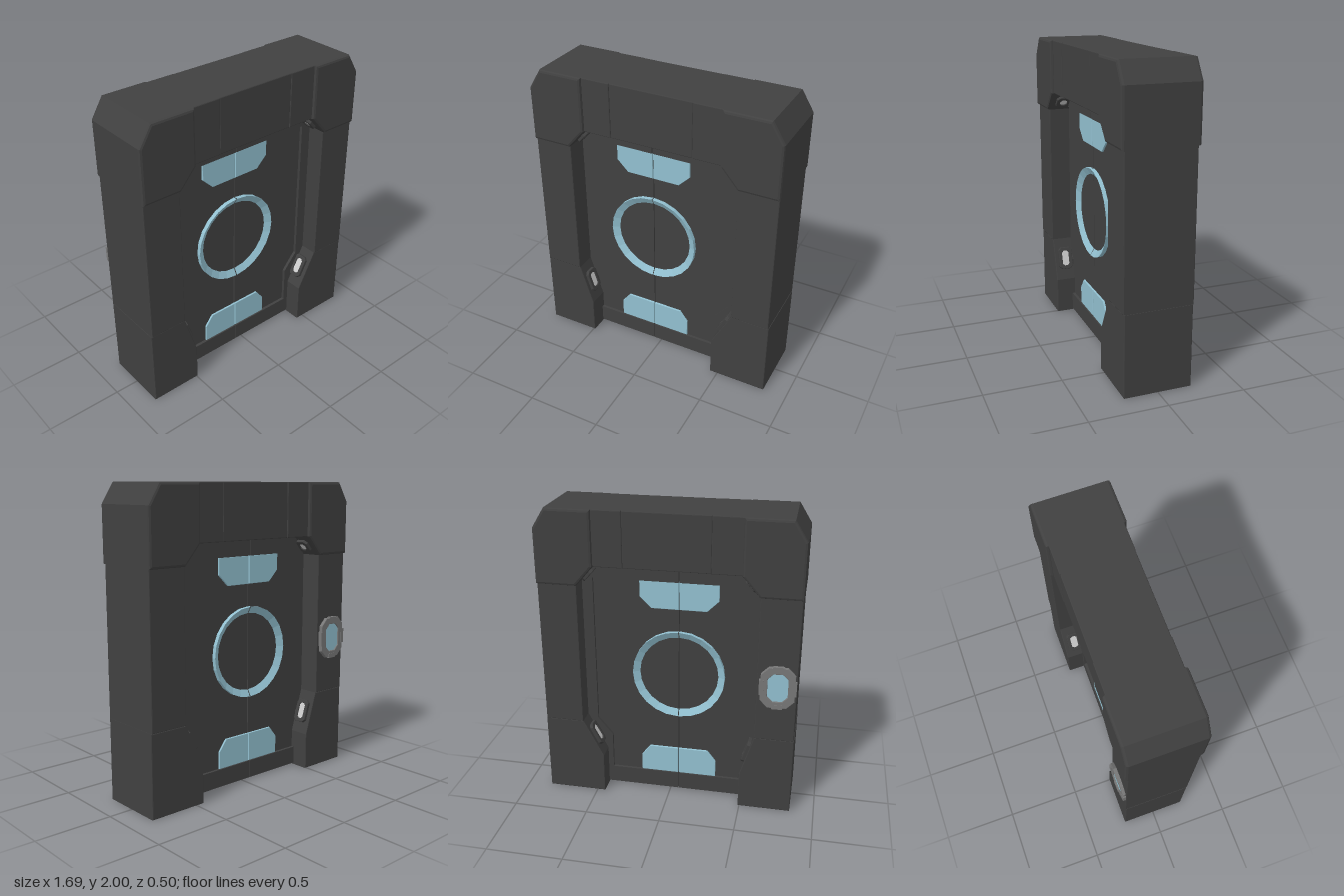
import * as THREE from 'three';

const mat = (color) => new THREE.MeshStandardMaterial({ color });
const dark = mat(0x404040), blue = mat(0x92c0d0), steel = mat(0x777777), grey = mat(0xcccccc);
const DOOR_X = -0.055; // the two leaves meet slightly off centre
const GAP = 0.003;

const toShape = (pts) => new THREE.Shape(pts.map(([x, y]) => new THREE.Vector2(x, y)));

// Outline extruded symmetrically to z = -half..half, edges bevelled inside the outline
function slab(name, pts, half, bevel, material, hole) {
  const shape = toShape(pts);
  if (hole) shape.holes.push(toShape(hole));
  const geo = new THREE.ExtrudeGeometry(shape, {
    depth: 2 * (half - bevel), bevelEnabled: bevel > 0, bevelSize: bevel,
    bevelThickness: bevel, bevelOffset: -bevel, bevelSegments: 2,
  });
  geo.translate(0, 0, bevel - half);
  const mesh = new THREE.Mesh(geo, material);
  mesh.name = name;
  return mesh;
}

const rect = (x0, x1, y0, y1) => [[x0, y0], [x1, y0], [x1, y1], [x0, y1]];

// Rectangle with cut corners
function octagon(w, h, c) {
  const x = w / 2, y = h / 2;
  return [[-x + c, -y], [x - c, -y], [x, -y + c], [x, y - c], [x - c, y], [-x + c, y], [-x, y - c], [-x, -y + c]];
}

// Chamfered rim around a lower inset, facing +z
function framedPlate(name, w, h, depth, cut, border, rimMat, insetMat) {
  const group = new THREE.Group();
  group.name = name;
  const inner = octagon(w - 2 * border, h - 2 * border, cut * 0.7);
  const rim = slab('rim', octagon(w, h, cut), depth, 0.004, rimMat, inner);
  const inset = slab('inset', inner, depth * 0.6, 0, insetMat);
  group.add(rim, inset);
  return group;
}

// Small lamp lying on a slanted face of the opening
function jambLamp(a, b, length, z) {
  const t = new THREE.Vector3(b[0] - a[0], b[1] - a[1], 0).normalize();
  const n = new THREE.Vector3(-t.y, t.x, 0);
  if (n.x * a[0] > 0) n.negate();
  const lamp = framedPlate('jambLamp', 0.1, length, 0.02, 0.02, 0.025, dark, grey);
  lamp.quaternion.setFromRotationMatrix(new THREE.Matrix4().makeBasis(t.clone().cross(n), t, n));
  lamp.position.set((a[0] + b[0]) / 2, (a[1] + b[1]) / 2, z);
  return lamp;
}

// One side of the surround; s = 1 for +x, -1 for -x
function framePost(s, footX, footY) {
  const post = new THREE.Group();
  post.name = s > 0 ? 'leftPost' : 'rightPost';
  const m = (pts) => pts.map(([x, y]) => [s * x, y]);
  post.add(
    slab('topCorner', m([[0.58, 1.51], [0.843, 1.51], [0.843, 1.87], [0.762, 2], [0.467, 2], [0.467, 1.64]]), 0.245, 0.016, dark),
    slab('sidePanel', m(rect(0.58, 0.837, 0.54, 1.53)), 0.227, 0.005, dark),
    slab('foot', m([[footX, 0], [0.84, 0], [0.84, 0.54], [0.58, 0.54], [footX, footY]]), 0.222, 0.005, dark),
    slab('lintelSide', m(rect(0.277, 0.48, 1.64, 2)), 0.226, 0.005, dark),
  );
  for (const z of [-0.145, 0.145]) {
    post.add(jambLamp([s * 0.58, 0.54], [s * footX, footY + 0.01], 0.16, z));
    post.add(jambLamp([s * 0.58, 1.51], [s * 0.467, 1.64], 0.1, z));
  }
  return post;
}

// One sliding leaf, measured from the meeting line
function doorLeaf(s) {
  const leaf = new THREE.Group();
  leaf.name = s > 0 ? 'leftLeaf' : 'rightLeaf';
  leaf.position.x = DOOR_X;
  const g = GAP;
  const m = (pts) => pts.map(([x, y]) => [s * x, y]);
  leaf.add(
    slab('leafRim', m([[g, 0.01], [0.66, 0.01], [0.66, 1.66], [g, 1.66], [g, 1.53],
      [0.565, 1.53], [0.565, 0.51], [0.465, 0.39], [0.465, 0.13], [g, 0.13]]), 0.105, 0, dark),
    slab('leafPanel', m(rect(g, 0.6, 0.1, 1.56)), 0.085, 0, dark),
    slab('upperPlate', m([[g, 1.53], [0.258, 1.53], [0.258, 1.42], [0.182, 1.345], [g, 1.345]]), 0.097, 0.003, blue),
    slab('lowerPlate', m([[g, 0.13], [0.258, 0.13], [0.258, 0.25], [0.2, 0.325], [g, 0.325]]), 0.097, 0.003, blue),
  );
  // Half ring on each face, dished towards its centre
  const profile = [[0.305, 0], [0.305, 0.028], [0.26, 0.002]].map(([r, y]) => new THREE.Vector2(r, y));
  for (const f of [1, -1]) {
    const geo = new THREE.LatheGeometry(profile, 12, s > 0 ? 0 : Math.PI, Math.PI);
    geo.rotateX(f * Math.PI / 2);
    const ringMat = mat(0x92c0d0);
    ringMat.flatShading = true;
    const ring = new THREE.Mesh(geo, ringMat);
    ring.name = 'halfRing';
    ring.position.set(s * g, 0.89, f * 0.085);
    leaf.add(ring);
  }
  return leaf;
}

// Control panel on the rear of one post
function controlPanel() {
  const panel = framedPlate('controlPanel', 0.22, 0.28, 0.02, 0.05, 0.045, steel, blue);
  const clamp = (w, h, x, y) => {
    const mesh = new THREE.Mesh(new THREE.BoxGeometry(w, h, 0.046), steel);
    mesh.name = 'clamp';
    mesh.position.set(x, y, 0);
    panel.add(mesh);
  };
  for (const s of [-1, 1]) {
    clamp(0.03, 0.1, s * 0.104, 0);
    clamp(0.07, 0.03, 0, s * 0.131);
  }
  panel.position.set(-0.715, 0.925, -0.228);
  panel.rotation.y = Math.PI + 0.03;
  return panel;
}

export function createModel() {
  const door = new THREE.Group();
  door.name = 'slidingDoor';
  door.add(
    framePost(1, 0.445, 0.28),
    framePost(-1, 0.49, 0.25),
    slab('lintelCentre', rect(-0.277, 0.277, 1.64, 2), 0.223, 0.005, dark),
    doorLeaf(1),
    doorLeaf(-1),
    controlPanel(),
  );
  return door;
}
